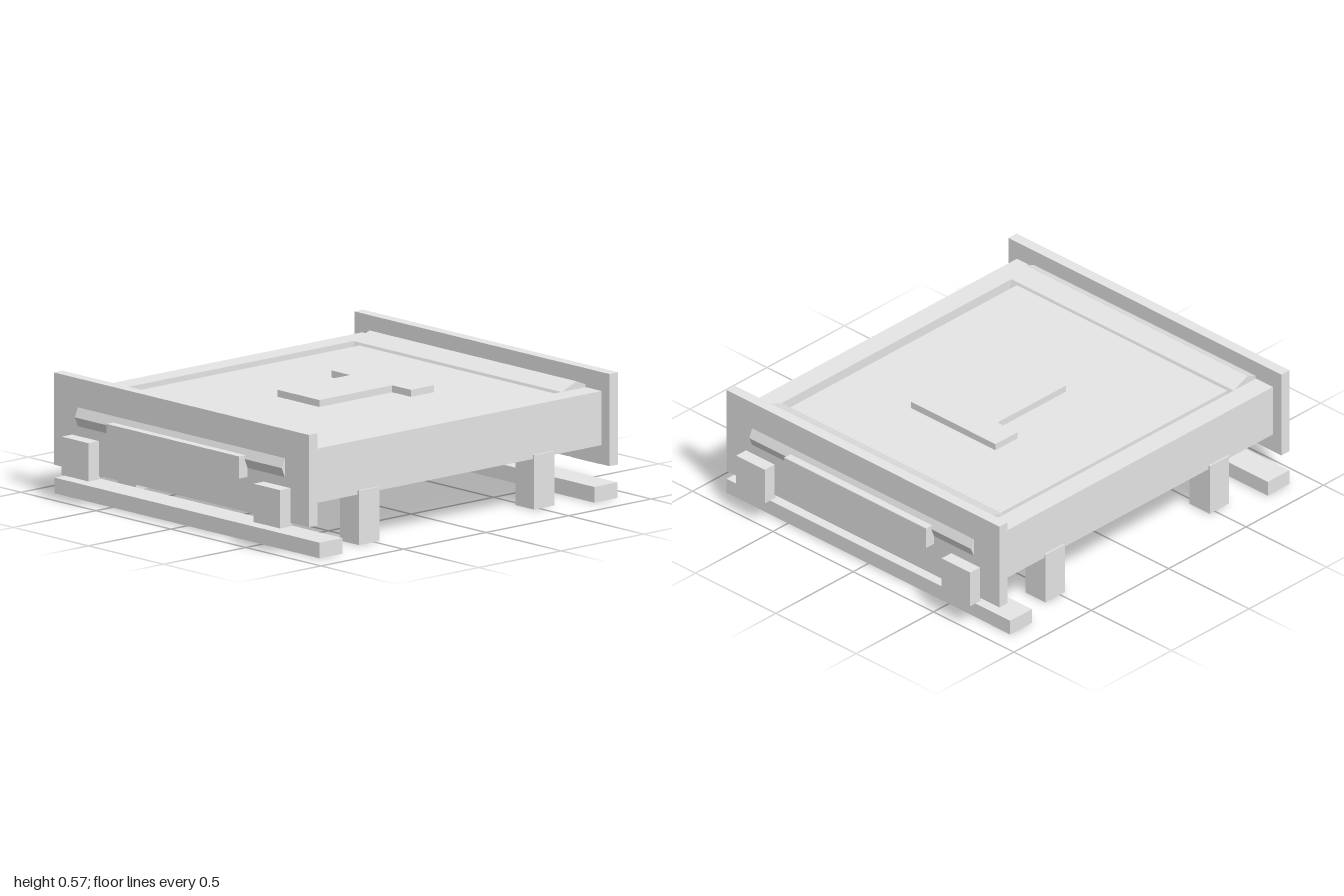
import * as THREE from 'three';

export function createModel() {
  const model = new THREE.Group();
  model.name = 'bedFrame';
  const grey = new THREE.MeshStandardMaterial({ color: 0xe6e6e6 });
  grey.name = 'light grey';

  const add = (name, geometry) => {
    const mesh = new THREE.Mesh(geometry, grey);
    mesh.name = name;
    model.add(mesh);
    return mesh;
  };

  // Box given by its lowest and highest corners
  const box = (name, [x0, y0, z0], [x1, y1, z1]) => {
    const mesh = add(name, new THREE.BoxGeometry(x1 - x0, y1 - y0, z1 - z0));
    mesh.position.set((x0 + x1) / 2, (y0 + y1) / 2, (z0 + z1) / 2);
  };

  // Box mirrored in z
  const endPair = (name, [x0, y0, z0], [x1, y1, z1]) => {
    box(name + 'Front', [x0, y0, z0], [x1, y1, z1]);
    box(name + 'Back', [x0, y0, -z1], [x1, y1, -z0]);
  };

  // Main panel, set just below the rail tops
  box('panel', [-0.655, 0.42, -0.77], [0.655, 0.466, 0.77]);

  // Raised stepped inlay on the panel: wide rear bar and narrower stem
  const inlay = new THREE.Shape([
    [-0.264, 0.355], [-0.264, 0.214], [-0.141, 0.214], [-0.141, -0.227],
    [0.139, -0.227], [0.139, 0.214], [0.263, 0.214], [0.263, 0.355],
  ].map(([x, y]) => new THREE.Vector2(x, y)));
  const plate = add('raisedInlay', new THREE.ExtrudeGeometry(inlay, { depth: 0.04, bevelEnabled: false }));
  plate.rotation.x = -Math.PI / 2;
  plate.position.y = 0.458;

  // Long rails, legs and end blocks on both sides
  for (const [side, s] of [['left', 1], ['right', -1]]) {
    const span = (a, b) => (s > 0 ? [a, b] : [-b, -a]);
    const [r0, r1] = span(0.692, 0.797);
    box(side + 'Rail', [r0, 0.231, -0.888], [r1, 0.48, 0.888]);
    const [l0, l1] = span(0.68, 0.805);
    endPair(side + 'Leg', [l0, 0, 0.468], [l1, 0.25, 0.593]);
    const [b0, b1] = span(0.55, 0.728);
    endPair(side + 'EndBlock', [b0, 0.126, 0.931], [b1, 0.302, 1.0]);
  }

  // End boards, their trim bars and the floor bars
  endPair('endBoard', [-0.85, 0.143, 0.884], [0.85, 0.567, 0.937]);
  endPair('trimBar', [-0.442, 0.305, 0.935], [0.442, 0.407, 0.988]);
  endPair('floorBar', [-0.883, 0, 0.762], [0.883, 0.072, 0.902]);

  // Eight-sided cross beams running through the end boards
  for (const [end, z] of [['front', 0.83], ['back', -0.83]]) {
    const geometry = new THREE.CylinderGeometry(0.125, 0.125, 1.38, 8).toNonIndexed();
    geometry.computeVertexNormals();
    const beam = add(end + 'CrossBeam', geometry);
    beam.rotation.z = Math.PI / 2;
    beam.position.set(0, 0.39, z);
  }

  return model;
}
